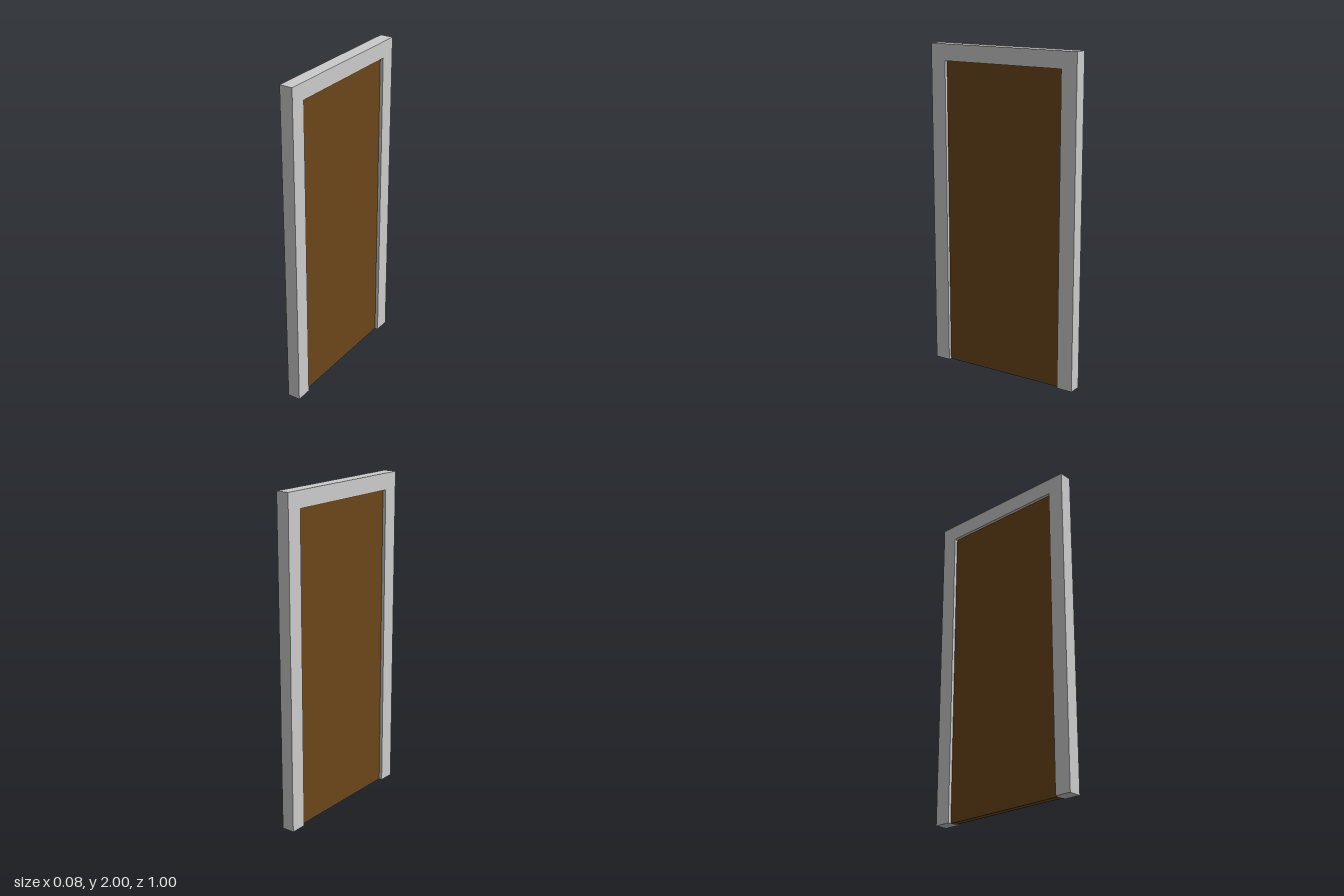
import * as THREE from 'three';

const HEIGHT = 2, HALF_WIDTH = 0.5, FRAME_DEPTH = 0.08;
const OPENING_HALF = 0.4, OPENING_HEIGHT = 1.9, PANEL_DEPTH = 0.04;

export function createModel() {
  const model = new THREE.Group();
  model.name = 'door';

  // Frame: two jambs and a header in one arch outline, open at the floor
  const outline = new THREE.Shape([
    [-HALF_WIDTH, 0], [-OPENING_HALF, 0],
    [-OPENING_HALF, OPENING_HEIGHT], [OPENING_HALF, OPENING_HEIGHT],
    [OPENING_HALF, 0], [HALF_WIDTH, 0],
    [HALF_WIDTH, HEIGHT], [-HALF_WIDTH, HEIGHT],
  ].map(([x, y]) => new THREE.Vector2(x, y)));
  const frameGeometry = new THREE.ExtrudeGeometry(outline, { depth: FRAME_DEPTH, bevelEnabled: false });
  frameGeometry.translate(0, 0, -FRAME_DEPTH / 2).rotateY(Math.PI / 2);
  const frame = new THREE.Mesh(frameGeometry, new THREE.MeshStandardMaterial({ color: 0xcccccc }));
  frame.name = 'doorFrame';

  // Door panel: thinner than the frame, recessed equally on both faces
  const panel = new THREE.Mesh(
    new THREE.BoxGeometry(PANEL_DEPTH, OPENING_HEIGHT, OPENING_HALF * 2),
    new THREE.MeshStandardMaterial({ color: 0x6b461a }),
  );
  panel.position.y = OPENING_HEIGHT / 2;
  panel.name = 'doorPanel';

  model.add(frame, panel);
  return model;
}
